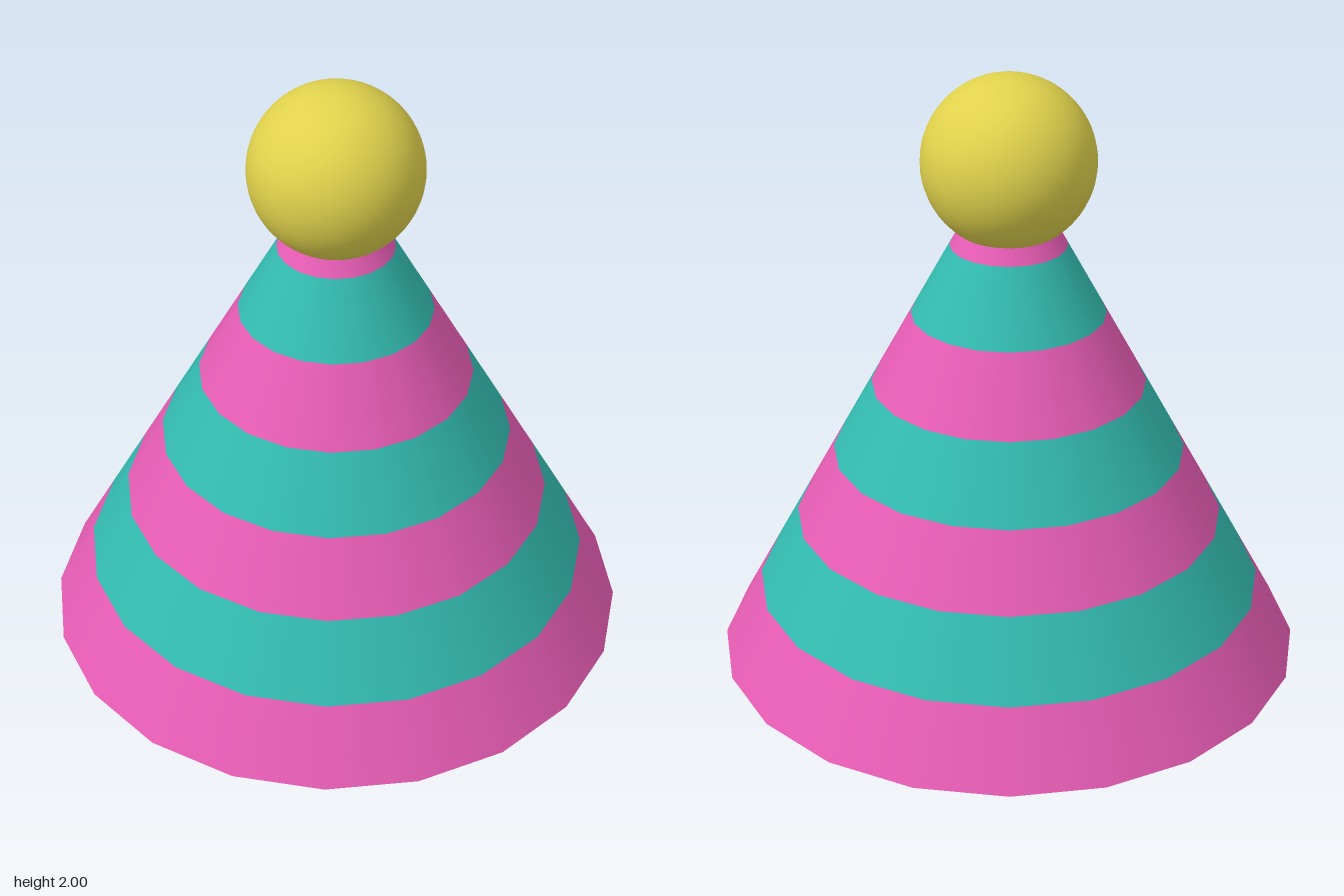
import * as THREE from 'three';

export function createModel() {
  const paint = (name, color) => {
    const m = new THREE.MeshStandardMaterial({ color });
    m.name = name;
    return m;
  };
  const pink = paint('pink', 0xe65cb4);
  const teal = paint('teal', 0x33bbb0);
  const yellow = paint('yellow', 0xe0d24c);

  const group = new THREE.Group();
  group.name = 'partyHat';
  const add = (name, geometry, material, y) => {
    const mesh = new THREE.Mesh(geometry, material);
    mesh.name = name;
    mesh.position.y = y;
    group.add(mesh);
  };

  const sides = 20, baseRadius = 0.97, apex = 1.79;
  const turn = THREE.MathUtils.degToRad(6.4);
  const radiusAt = (y) => baseRadius * (1 - y / apex);

  // Striped cone, one band per stripe; the last one ends inside the ball
  const levels = [0, 0.24, 0.485, 0.72, 0.96, 1.205, 1.44, 1.66];
  for (let i = 0; i < levels.length - 1; i++) {
    const low = levels[i], high = levels[i + 1];
    const band = new THREE.CylinderGeometry(
      radiusAt(high), radiusAt(low), high - low, sides, 1, true, turn);
    add('stripe' + (i + 1), band, i % 2 ? teal : pink, (low + high) / 2);
  }

  // Closed underside
  const base = new THREE.CircleGeometry(baseRadius, sides, turn - Math.PI / 2);
  base.rotateX(Math.PI / 2);
  add('base', base, pink, 0);

  // Ball on the tip
  add('ball', new THREE.SphereGeometry(0.28, 48, 32), yellow, 1.72);

  return group;
}
